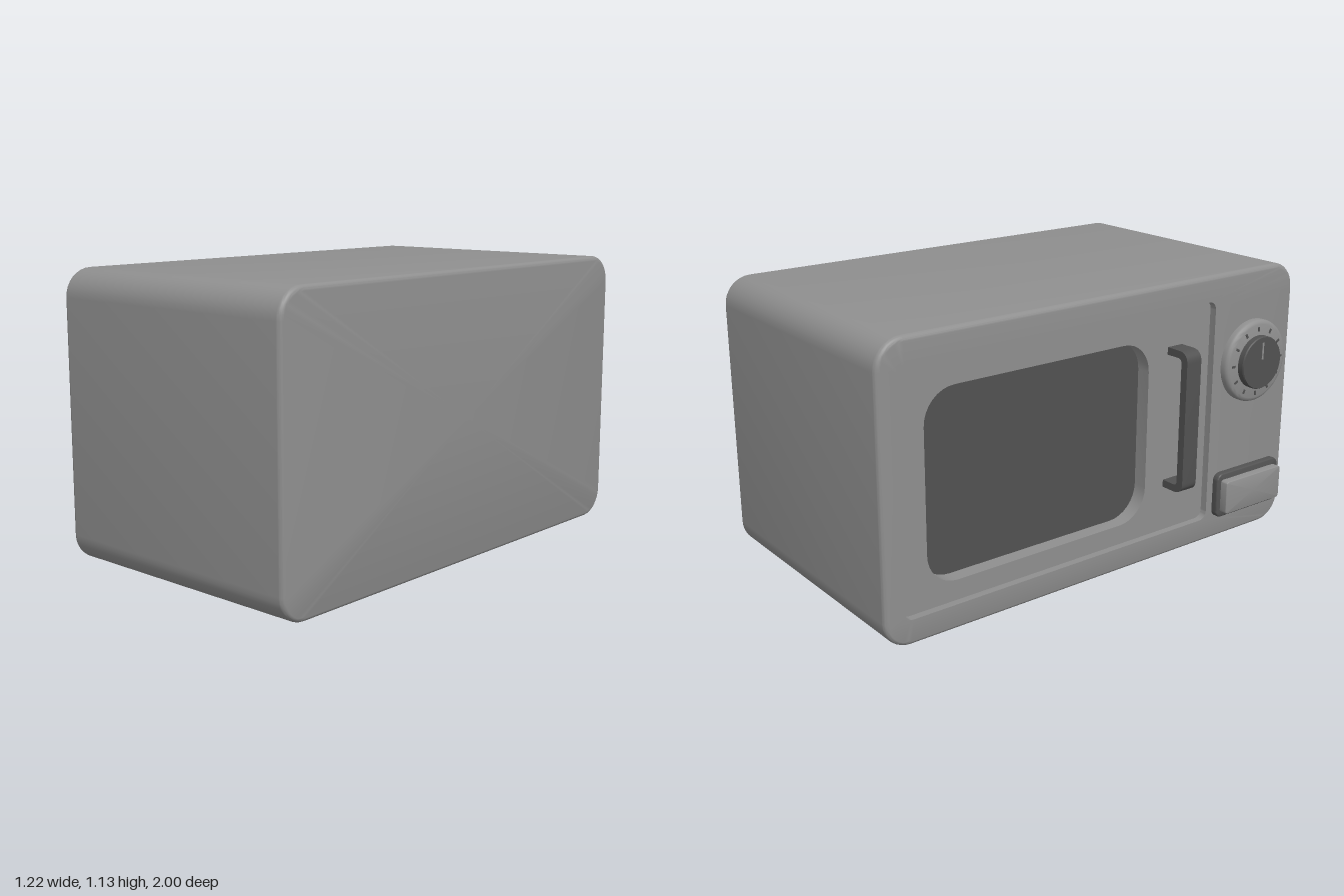
import * as THREE from 'three';
import { toCreasedNormals } from 'three/addons/utils/BufferGeometryUtils.js';

const mat = (name, color) => {
  const m = new THREE.MeshStandardMaterial({ color });
  m.name = name;
  return m;
};

// Rounded rectangle loop in the z-y plane at depth x, counterclockwise seen from -x
function loop(x, [z0, z1, y0, y1, r], inset = 0) {
  const pts = [], n = 8;
  const centres = [[z1 - r, y1 - r], [z0 + r, y1 - r], [z0 + r, y0 + r], [z1 - r, y0 + r]];
  centres.forEach(([cz, cy], k) => {
    for (let i = 0; i <= n; i++) {
      const a = (k + i / n) * Math.PI / 2;
      pts.push([x, cy + (r - inset) * Math.sin(a), cz + (r - inset) * Math.cos(a)]);
    }
  });
  return pts;
}

// Skin a list of loops, running from the rear towards -x, with optional end caps
function loft(loops, capStart, capEnd) {
  const n = loops[0].length, pos = loops.flat(2), idx = [];
  for (let i = 0; i < loops.length - 1; i++) {
    for (let j = 0; j < n; j++) {
      const k = (j + 1) % n;
      const a = i * n + j, b = i * n + k, c = b + n, d = a + n;
      idx.push(a, b, c, a, c, d);
    }
  }
  const cap = (i, flip) => {
    const l = loops[i], c = pos.length / 3;
    pos.push(l[0][0], (l[0][1] + l[2 * n / 4][1]) / 2, (l[0][2] + l[2 * n / 4][2]) / 2);
    for (let j = 0; j < n; j++) {
      const a = i * n + j, b = i * n + (j + 1) % n;
      flip ? idx.push(c, b, a) : idx.push(c, a, b);
    }
  };
  if (capStart) cap(0, true);
  if (capEnd) cap(loops.length - 1, false);
  const g = new THREE.BufferGeometry();
  g.setAttribute('position', new THREE.Float32BufferAttribute(pos, 3));
  g.setIndex(idx);
  return toCreasedNormals(g, 0.4);
}

// Quarter-round edge: loops turning between the side and the face at x
function rounded(x, rect, r, dir) {
  const out = [];
  for (let i = 0; i <= 6; i++) {
    const a = i / 6 * Math.PI / 2;
    out.push(loop(x - dir * r * (1 - Math.sin(a)), rect, r * (1 - Math.cos(a))));
  }
  return dir > 0 ? out.reverse() : out;
}

export function createModel() {
  const group = new THREE.Group();
  const casing = mat('casing grey', 0x8f8f8f);
  const dark = mat('dark grey', 0x525252);
  const add = (name, geo, material, parent = group) => {
    const m = new THREE.Mesh(geo, material);
    m.name = name;
    parent.add(m);
    return m;
  };

  // Casing with a shallow recess for the door
  const shell = [-1, 1, 0, 1.135, 0.11];
  const doorRect = [-0.917, 0.557, 0.1, 1.03, 0.035];
  const windowRect = [-0.8, 0.235, 0.18, 0.92, 0.13];
  add('casing', loft([
    ...rounded(0.605, shell, 0.02, 1),
    ...rounded(-0.53, shell, 0.02, -1),
    loop(-0.53, doorRect), loop(-0.5, doorRect),
  ], true, false), casing);

  // Door panel with sunken window
  add('door', loft([loop(-0.5, doorRect), loop(-0.5, windowRect), loop(-0.44, windowRect)]), casing);
  add('windowGlass', loft([loop(-0.44, windowRect)], false, true), dark);

  // Bent strap handle
  const s = new THREE.Shape();
  s.moveTo(-0.5, 0.29);
  s.lineTo(-0.57, 0.29);
  s.quadraticCurveTo(-0.61, 0.295, -0.61, 0.335);
  s.lineTo(-0.61, 0.83);
  s.quadraticCurveTo(-0.61, 0.87, -0.57, 0.875);
  s.lineTo(-0.5, 0.875);
  s.lineTo(-0.5, 0.845);
  s.lineTo(-0.56, 0.845);
  s.quadraticCurveTo(-0.578, 0.845, -0.578, 0.825);
  s.lineTo(-0.578, 0.34);
  s.quadraticCurveTo(-0.578, 0.32, -0.56, 0.32);
  s.lineTo(-0.5, 0.32);
  const strap = new THREE.ExtrudeGeometry(s, { depth: 0.075, bevelEnabled: false, curveSegments: 8 });
  add('handle', toCreasedNormals(strap, 0.5), dark).position.z = 0.332;

  // Timer dial: local +y points out of the front
  const dial = new THREE.Group();
  dial.name = 'timerDial';
  dial.position.set(-0.53, 0.753, 0.772);
  dial.rotation.z = Math.PI / 2;
  group.add(dial);
  const lathe = pts => toCreasedNormals(
    new THREE.LatheGeometry(pts.map(p => new THREE.Vector2(...p)), 48), 0.5);
  add('dialRing', lathe([[0.172, 0], [0.172, 0.018], [0.169, 0.027], [0.163, 0.033],
    [0.154, 0.036], [0, 0.036]]), casing, dial);
  add('dialKnob', lathe([[0.11, 0.036], [0.11, 0.06], [0.107, 0.065], [0, 0.065]]), dark, dial);
  add('dialPointer', new THREE.BoxGeometry(0.07, 0.002, 0.008), casing, dial).position.set(0.05, 0.066, 0);
  for (let i = 0; i < 12; i++) {
    const a = i / 12 * Math.PI * 2;
    const tick = add('dialTick', new THREE.BoxGeometry(0.018, 0.004, 0.009), dark, dial);
    tick.position.set(0.135 * Math.cos(a), 0.037, 0.135 * Math.sin(a));
    tick.rotation.y = -a;
  }

  // Door release button on its dark backing plate
  const plate = [0.59, 0.95, 0.1, 0.293, 0.03];
  const button = [0.61, 0.93, 0.125, 0.267, 0.012];
  add('buttonPlate', loft([loop(-0.53, plate), ...rounded(-0.558, plate, 0.008, -1)], false, true), dark);
  add('releaseButton', loft([loop(-0.556, button), ...rounded(-0.592, button, 0.004, -1)], false, true), casing);

  return group;
}
